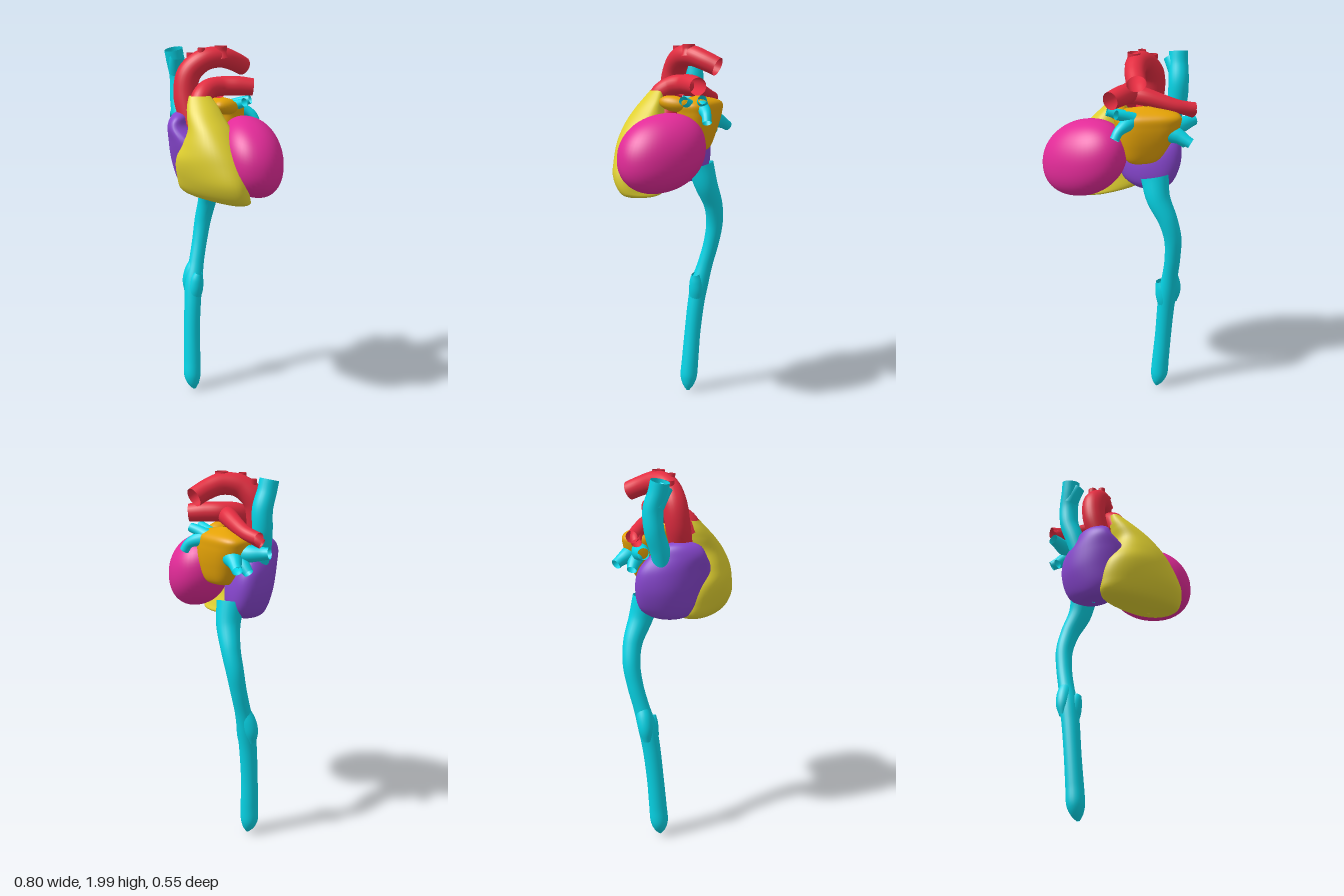
import * as THREE from 'three';

const mat = (name, color) => {
  const m = new THREE.MeshStandardMaterial({ color, side: THREE.DoubleSide });
  m.name = name;
  return m;
};

const power = (v, e) => Math.sign(v) * Math.abs(v) ** e;

// Smooth skin over a list of closed rings with equal point counts
function skin(rings) {
  const n = rings[0].length, pos = [], idx = [];
  rings.forEach(r => r.forEach(p => pos.push(p.x, p.y, p.z)));
  for (let i = 0; i < rings.length - 1; i++) {
    for (let j = 0; j < n; j++) {
      const k = (j + 1) % n, a = i * n + j, b = i * n + k, c = a + n, d = b + n;
      idx.push(a, c, b, b, c, d);
    }
  }
  const g = new THREE.BufferGeometry();
  g.setAttribute('position', new THREE.Float32BufferAttribute(pos, 3));
  g.setIndex(idx);
  g.computeVertexNormals();
  return g;
}

// Chamber from level sections: [y, xRight, xLeft, zAtRight, zAtLeft, frontBulge, backBulge]
function chamber(rows, square = 0.9, steps = 48, sides = 40) {
  const spline = new THREE.CubicInterpolant(rows.map((_, i) => i), rows.flat(), 7);
  const rings = [];
  for (let i = 0; i <= steps; i++) {
    const [y, x0, x1, z0, z1, f, b] = spline.evaluate(i / steps * (rows.length - 1));
    const ring = [];
    for (let j = 0; j < sides; j++) {
      const a = j / sides * Math.PI * 2, s = Math.sin(a);
      const u = (1 + power(Math.cos(a), square)) / 2;
      ring.push(new THREE.Vector3(x0 + (x1 - x0) * u, y, z0 + (z1 - z0) * u + (s > 0 ? f : b) * power(s, square)));
    }
    rings.push(ring);
  }
  return skin(rings);
}

// Open vessel through points [x, y, z, radius]
function vessel(points, steps = 40, sides = 24) {
  const curve = new THREE.CatmullRomCurve3(points.map(p => new THREE.Vector3(p[0], p[1], p[2])));
  const radius = new THREE.CubicInterpolant(points.map((_, i) => i), points.map(p => p[3]), 1);
  const { normals, binormals } = curve.computeFrenetFrames(steps, false);
  const rings = [];
  for (let i = 0; i <= steps; i++) {
    const t = curve.getUtoTmapping(i / steps);
    const c = curve.getPoint(t), r = radius.evaluate(t * (points.length - 1))[0];
    const ring = [];
    for (let j = 0; j < sides; j++) {
      const a = j / sides * Math.PI * 2;
      ring.push(c.clone().addScaledVector(normals[i], r * Math.cos(a)).addScaledVector(binormals[i], -r * Math.sin(a)));
    }
    rings.push(ring);
  }
  return skin(rings);
}

export function createModel() {
  const model = new THREE.Group();
  model.name = 'heart';
  const cyan = mat('veinCyan', 0x06d8ea), red = mat('arteryRed', 0xe22c40);
  const yellow = mat('rightVentricleYellow', 0xe0d030), magenta = mat('leftVentricleMagenta', 0xe22b98);
  const purple = mat('rightAtriumPurple', 0x8746ce), orange = mat('leftAtriumOrange', 0xe4a206);
  const add = (name, geometry, material) => {
    const m = new THREE.Mesh(geometry, material);
    m.name = name;
    model.add(m);
    return m;
  };

  // Left ventricle: full egg lying diagonally, sinking toward the model's left
  const egg = new THREE.SphereGeometry(1, 48, 32);
  const p = egg.attributes.position;
  for (let i = 0; i < p.count; i++) {
    p.setXYZ(i, power(p.getX(i), 0.93), power(p.getY(i), 0.93), power(p.getZ(i), 0.93));
  }
  egg.scale(0.168, 0.198, 0.242);
  egg.rotateY(Math.PI / 4);
  for (let i = 0; i < p.count; i++) p.setY(i, p.getY(i) - 0.24 * p.getX(i));
  egg.translate(0.186, 1.437, -0.022);
  egg.computeVertexNormals();
  add('leftVentricle', egg, magenta);

  // Right ventricle wraps the front and narrows up into the outflow
  add('rightVentricle', chamber([
    [1.195, 0.12, 0.14, 0.08, 0.08, 0.005, 0.005],
    [1.205, 0.02, 0.26, 0.09, 0.12, 0.055, 0.085],
    [1.24, -0.155, 0.288, 0.11, 0.15, 0.085, 0.11],
    [1.32, -0.18, 0.285, 0.12, 0.165, 0.112, 0.1],
    [1.42, -0.165, 0.25, 0.135, 0.145, 0.13, 0.1],
    [1.5, -0.125, 0.2, 0.12, 0.135, 0.133, 0.09],
    [1.58, -0.092, 0.14, 0.11, 0.11, 0.126, 0.08],
    [1.65, -0.105, 0.075, 0.11, 0.09, 0.105, 0.06],
    [1.7, -0.115, 0.03, 0.11, 0.075, 0.08, 0.045],
    [1.75, -0.115, -0.02, 0.11, 0.07, 0.045, 0.03],
  ]), yellow);

  // Right atrium, reaching round to the back beside the left ventricle
  add('rightAtrium', chamber([
    [1.235, -0.18, -0.16, 0.01, 0.01, 0.005, 0.005],
    [1.25, -0.24, -0.09, -0.01, 0.04, 0.08, 0.09],
    [1.3, -0.287, -0.03, -0.05, 0.06, 0.14, 0.13],
    [1.4, -0.322, -0.01, -0.06, 0.07, 0.165, 0.14],
    [1.5, -0.322, -0.03, -0.055, 0.09, 0.172, 0.13],
    [1.58, -0.292, -0.125, -0.01, 0.12, 0.13, 0.11],
    [1.635, -0.265, -0.145, 0.03, 0.12, 0.08, 0.07],
    [1.665, -0.21, -0.19, 0.08, 0.08, 0.005, 0.005],
  ]), purple);

  // Left atrium and its ear
  add('leftAtrium', chamber([
    [1.42, -0.11, -0.09, -0.12, -0.12, 0.005, 0.005],
    [1.44, -0.19, -0.02, -0.11, -0.12, 0.06, 0.07],
    [1.53, -0.25, 0.02, -0.12, -0.12, 0.1, 0.095],
    [1.63, -0.295, 0.04, -0.145, -0.12, 0.1, 0.095],
    [1.69, -0.28, 0.03, -0.15, -0.11, 0.09, 0.085],
    [1.725, -0.13, -0.11, -0.12, -0.12, 0.005, 0.005],
  ], 0.72), orange);
  const ear = add('leftAtrialEar', new THREE.SphereGeometry(1, 24, 16), orange);
  ear.scale.set(0.05, 0.042, 0.085);
  ear.position.set(0.013, 1.685, -0.03);
  ear.rotation.x = -0.15;

  // Aorta with three short branches on the arch
  add('aorta', vessel([
    [-0.11, 1.5, 0.07, 0.055], [-0.155, 1.62, 0.065, 0.06], [-0.192, 1.74, 0.058, 0.065],
    [-0.185, 1.855, 0.035, 0.065], [-0.128, 1.925, -0.02, 0.06], [-0.075, 1.937, -0.1, 0.056],
    [-0.05, 1.912, -0.18, 0.052], [-0.042, 1.88, -0.255, 0.05],
  ], 56, 28), red);
  [[-0.187, 1.962, 0.015, 0.023], [-0.125, 1.99, 0.003, 0.02], [-0.064, 1.998, -0.086, 0.034]]
    .forEach(([x, y, z, r], i) =>
      add('archBranch' + (i + 1), vessel([[x + 0.01, y - 0.07, z, r * 1.15], [x, y - 0.03, z, r], [x, y, z, r]], 10), red));

  // Pulmonary artery: trunk under the arch into the left branch, right branch behind the aorta
  add('pulmonaryTrunk', vessel([
    [-0.07, 1.68, 0.105, 0.05], [-0.073, 1.735, 0.075, 0.054], [-0.075, 1.775, 0.01, 0.054],
    [-0.045, 1.787, -0.07, 0.052], [0.015, 1.787, -0.13, 0.052], [0.078, 1.78, -0.185, 0.047],
  ]), red);
  add('rightPulmonaryArtery', vessel([
    [-0.05, 1.775, -0.05, 0.05], [-0.12, 1.765, -0.082, 0.047], [-0.2, 1.742, -0.108, 0.041],
    [-0.28, 1.718, -0.125, 0.036], [-0.34, 1.705, -0.125, 0.034], [-0.38, 1.7, -0.125, 0.032],
  ]), red);
  add('rightPulmonaryArteryFork', vessel([
    [-0.3, 1.71, -0.125, 0.032], [-0.345, 1.69, -0.115, 0.03], [-0.378, 1.67, -0.1, 0.026],
  ], 14), red);

  // Great veins
  add('upperGreatVein', vessel([
    [-0.318, 1.975, 0.005, 0.05], [-0.316, 1.92, -0.008, 0.05], [-0.312, 1.83, -0.035, 0.053],
    [-0.308, 1.72, -0.03, 0.052], [-0.28, 1.62, -0.01, 0.052], [-0.25, 1.52, 0, 0.05],
  ]), cyan);
  add('upperVeinBranch', vessel([
    [-0.315, 1.85, -0.02, 0.045], [-0.3, 1.9, 0, 0.044], [-0.278, 1.945, 0.025, 0.036],
  ], 14), cyan);
  add('lowerGreatVein', vessel([
    [-0.172, 1.34, -0.12, 0.075], [-0.185, 1.23, -0.15, 0.064], [-0.233, 1.11, -0.178, 0.052],
    [-0.263, 1, -0.177, 0.047], [-0.27, 0.88, -0.155, 0.043], [-0.268, 0.76, -0.122, 0.043],
    [-0.264, 0.65, -0.092, 0.05], [-0.258, 0.54, -0.073, 0.048], [-0.25, 0.35, -0.053, 0.046],
    [-0.24, 0.18, -0.042, 0.048], [-0.235, 0.09, -0.036, 0.048], [-0.226, 0.04, -0.036, 0.032],
    [-0.22, 0.008, -0.036, 0.008],
  ], 96, 24), cyan);

  // Side branches merging along the lower vein
  add('rightSideBranch', vessel([
    [-0.268, 0.76, -0.118, 0.036], [-0.286, 0.7, -0.1, 0.042], [-0.297, 0.64, -0.088, 0.038], [-0.3, 0.58, -0.08, 0.02],
  ], 16), cyan);
  add('leftSideBranch', vessel([
    [-0.262, 0.54, -0.075, 0.042], [-0.243, 0.61, -0.08, 0.044], [-0.23, 0.67, -0.08, 0.036], [-0.218, 0.705, -0.08, 0.022],
  ], 16), cyan);

  // Pulmonary veins, three on each side of the left atrium
  const veins = {
    upperRightPulmonaryVein: [[-0.2, 1.61, -0.13, 0.05], [-0.3, 1.61, -0.11, 0.044], [-0.36, 1.615, -0.075, 0.034], [-0.392, 1.62, -0.06, 0.03]],
    backRightPulmonaryVein: [[-0.2, 1.6, -0.16, 0.055], [-0.27, 1.58, -0.19, 0.042], [-0.31, 1.56, -0.215, 0.03], [-0.335, 1.545, -0.228, 0.027]],
    lowerRightPulmonaryVein: [[-0.24, 1.58, -0.14, 0.042], [-0.29, 1.555, -0.145, 0.034], [-0.33, 1.52, -0.145, 0.026]],
    upperLeftPulmonaryVein: [[-0.02, 1.67, -0.11, 0.035], [0.03, 1.69, -0.11, 0.027], [0.08, 1.705, -0.105, 0.024]],
    lowerLeftPulmonaryVein: [[-0.03, 1.66, -0.17, 0.045], [0.015, 1.645, -0.205, 0.032], [0.045, 1.625, -0.222, 0.026], [0.065, 1.59, -0.232, 0.025]],
    backLeftPulmonaryVein: [[-0.06, 1.66, -0.16, 0.045], [-0.01, 1.69, -0.18, 0.03], [0.05, 1.71, -0.2, 0.024]],
  };
  for (const name in veins) add(name, vessel(veins[name], 18, 18), cyan);

  return model;
}
